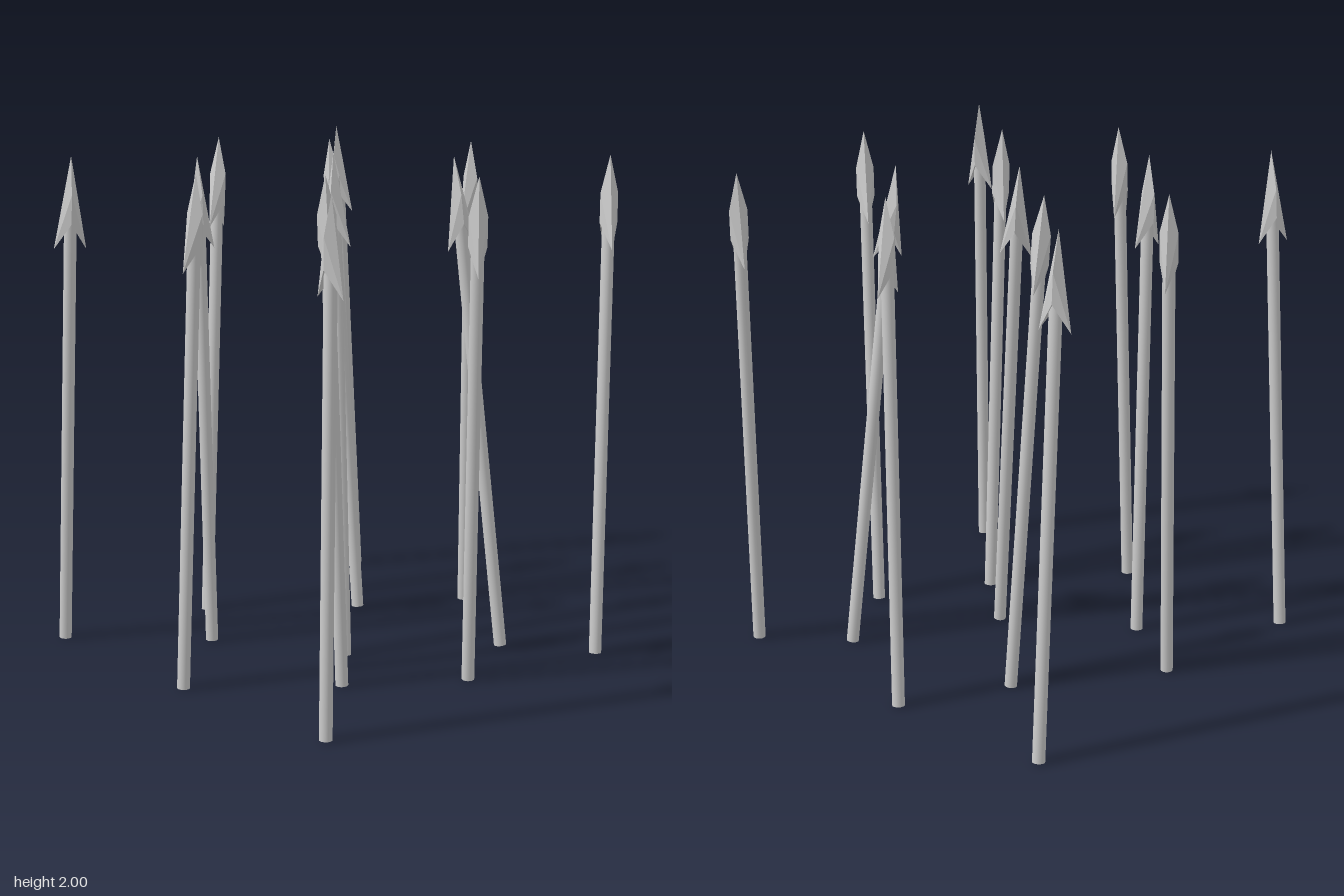
import * as THREE from 'three';

// Each spear: base x, base z, tip x, tip z, blade direction in the ground plane
const SPEARS = [
  [-0.765, -0.83, -0.72, -0.665, -0.2],
  [-0.053, -0.785, 0.045, -0.695, 1.5],
  [0.812, -0.643, 0.73, -0.76, 0.59],
  [-0.293, -0.382, -0.40, -0.32, 1.2],
  [0.48, -0.44, 0.335, -0.29, 1.95],
  [-0.70, 0.112, -0.757, -0.03, 1.2],
  [0.137, 0.105, -0.055, -0.015, -0.42],
  [0.675, -0.043, 0.807, 0.07, 0.75],
  [-0.38, 0.363, -0.35, 0.435, 1.8],
  [0.388, 0.363, 0.38, 0.44, 0.65],
  [-0.82, 0.777, -0.692, 0.785, -1.05],
  [-0.01, 0.828, 0.024, 0.76, 1.37],
  [0.775, 0.815, 0.755, 0.765, -0.03],
];
const SHAFT_RADIUS = 0.025;

// Barbed, ridged blade with its tip at the origin, pointing up
function makeHead() {
  const points = [];
  for (const sx of [1, -1]) {
    for (const sz of [1, -1]) {
      const tip = [0, 0, 0];
      const ridge = [0, -0.15, 0.036 * sz];
      const low = [0, -0.265, 0.036 * sz];
      const notch = [0, -0.265, 0];
      const barb = [0.064 * sx, -0.37, 0];
      const faces = [[tip, ridge, barb], [ridge, low, barb], [low, notch, barb]];
      for (const [a, b, c] of faces) {
        points.push(...(sx * sz > 0 ? [a, b, c] : [a, c, b]).flat());
      }
    }
  }
  const geometry = new THREE.BufferGeometry();
  geometry.setAttribute('position', new THREE.Float32BufferAttribute(points, 3));
  geometry.computeVertexNormals();
  return geometry;
}

export function createModel() {
  const model = new THREE.Group();
  model.name = 'spears';
  const shaftMaterial = new THREE.MeshStandardMaterial({ color: 0xcccccc });
  const headMaterial = new THREE.MeshStandardMaterial({ color: 0xcccccc, flatShading: true });
  const headGeometry = makeHead();
  const up = new THREE.Vector3(0, 1, 0);

  SPEARS.forEach(([bx, bz, tx, tz, blade], i) => {
    const base = new THREE.Vector3(bx, 0.002, bz);
    const axis = new THREE.Vector3(tx, 1.995, tz).sub(base);
    const length = axis.length();

    const spear = new THREE.Group();
    spear.name = `spear${i + 1}`;
    spear.position.copy(base);
    spear.quaternion.setFromUnitVectors(up, axis.normalize());

    // Round shaft, ending inside the head
    const shaftLength = length - 0.25;
    const shaft = new THREE.Mesh(
      new THREE.CylinderGeometry(SHAFT_RADIUS, SHAFT_RADIUS, shaftLength, 16), shaftMaterial);
    shaft.name = 'shaft';
    shaft.position.y = shaftLength / 2;

    // Blade turned about the shaft
    const head = new THREE.Mesh(headGeometry, headMaterial);
    head.name = 'head';
    head.position.y = length;
    head.rotation.y = -blade;

    spear.add(shaft, head);
    model.add(spear);
  });
  return model;
}
